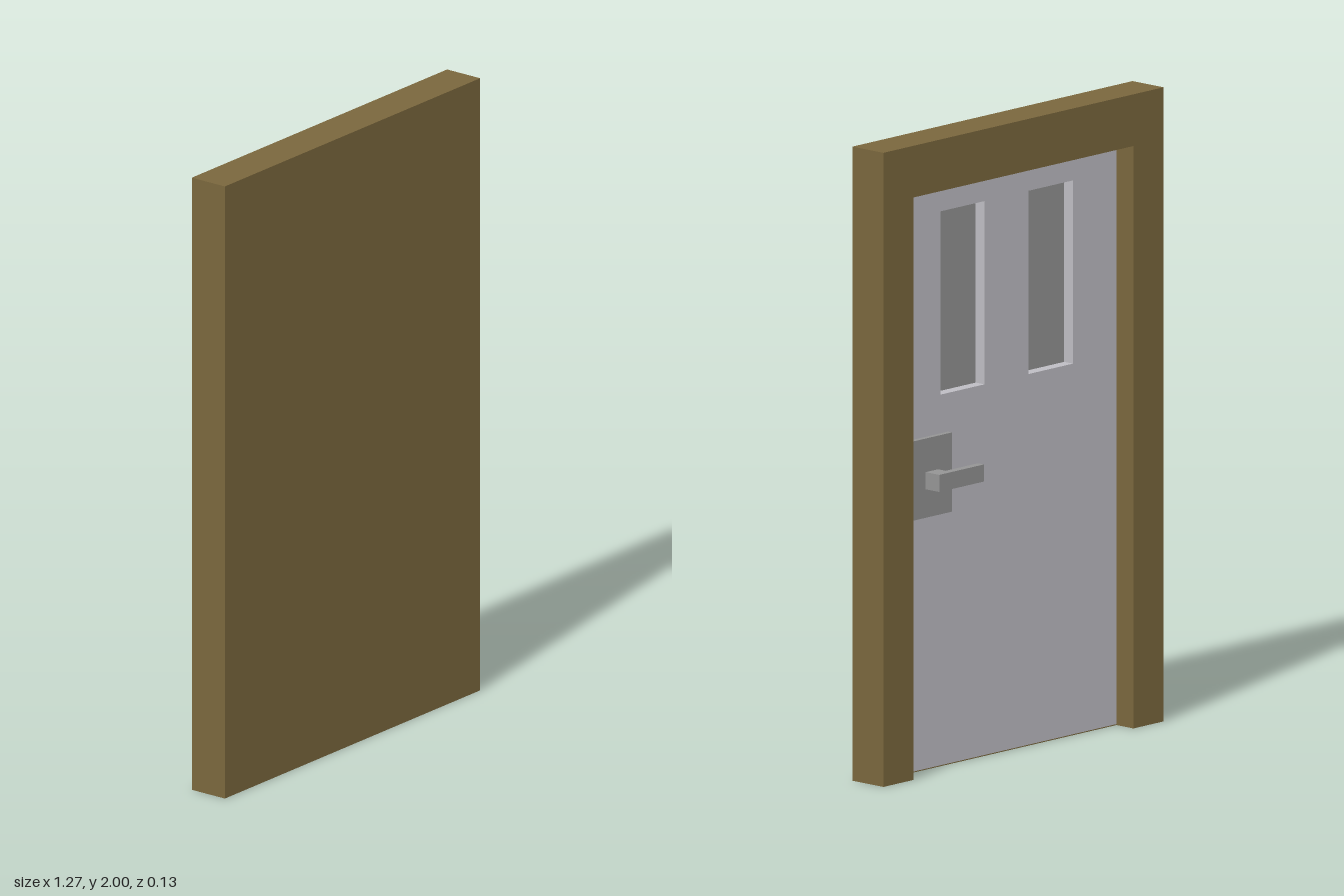
import * as THREE from 'three';

const mat = (name, color) => {
  const m = new THREE.MeshStandardMaterial({ color });
  m.name = name;
  return m;
};

export function createModel() {
  const wood = mat('brown wood', 0x7a673d);
  const paint = mat('light grey paint', 0xbebdc3);
  const metal = mat('mid grey', 0x949494);

  const group = new THREE.Group();
  group.name = 'door';

  // Box given by its minimum and maximum corners
  const box = (name, material, [x0, y0, z0], [x1, y1, z1]) => {
    const mesh = new THREE.Mesh(new THREE.BoxGeometry(x1 - x0, y1 - y0, z1 - z0), material);
    mesh.position.set((x0 + x1) / 2, (y0 + y1) / 2, (z0 + z1) / 2);
    mesh.name = name;
    group.add(mesh);
  };

  const W = 0.634, H = 2, IN = 0.497, TOP = 1.837;   // frame outline and opening
  const FRONT = 0.066, BACK = -0.064;
  const LEAF = 0.007, PANE = 0.046;                  // door leaf surface and window depth

  // Frame: two posts and the lintel
  box('leftPost', wood, [IN, 0, BACK], [W, TOP, FRONT]);
  box('rightPost', wood, [-W, 0, BACK], [-IN, TOP, FRONT]);
  box('lintel', wood, [-W, TOP, BACK], [W, H, FRONT]);

  // Solid front panel, flush with the frame, and the thin strip under the leaf
  box('frontPanel', wood, [-IN, 0, PANE], [IN, TOP, FRONT]);
  box('sill', wood, [-IN, 0, LEAF], [IN, 0.003, PANE]);

  // Door leaf with two tall window openings
  const rect = (Type, x0, y0, x1, y1) => new Type([
    new THREE.Vector2(x0, y0), new THREE.Vector2(x1, y0),
    new THREE.Vector2(x1, y1), new THREE.Vector2(x0, y1),
  ]);
  const leaf = rect(THREE.Shape, -IN, 0.003, IN, TOP);
  for (const x of [-0.3, 0.1]) {
    leaf.holes.push(rect(THREE.Path, x, 1.172, x + 0.2, 1.75));
    box('windowPane', metal, [x, 1.172, PANE - 0.002], [x + 0.2, 1.75, PANE]);
  }
  const leafMesh = new THREE.Mesh(
    new THREE.ExtrudeGeometry(leaf, { depth: PANE - LEAF, bevelEnabled: false }), paint);
  leafMesh.position.z = LEAF;
  leafMesh.name = 'doorLeaf';
  group.add(leafMesh);

  // Handle: plate, stem and lever
  box('handlePlate', metal, [0.265, 0.8, -0.01], [0.44, 1.05, LEAF]);
  box('handleStem', metal, [0.328, 0.89, -0.042], [0.384, 0.944, -0.01]);
  box('handleLever', metal, [0.182, 0.89, -0.067], [0.384, 0.944, -0.042]);

  return group;
}
